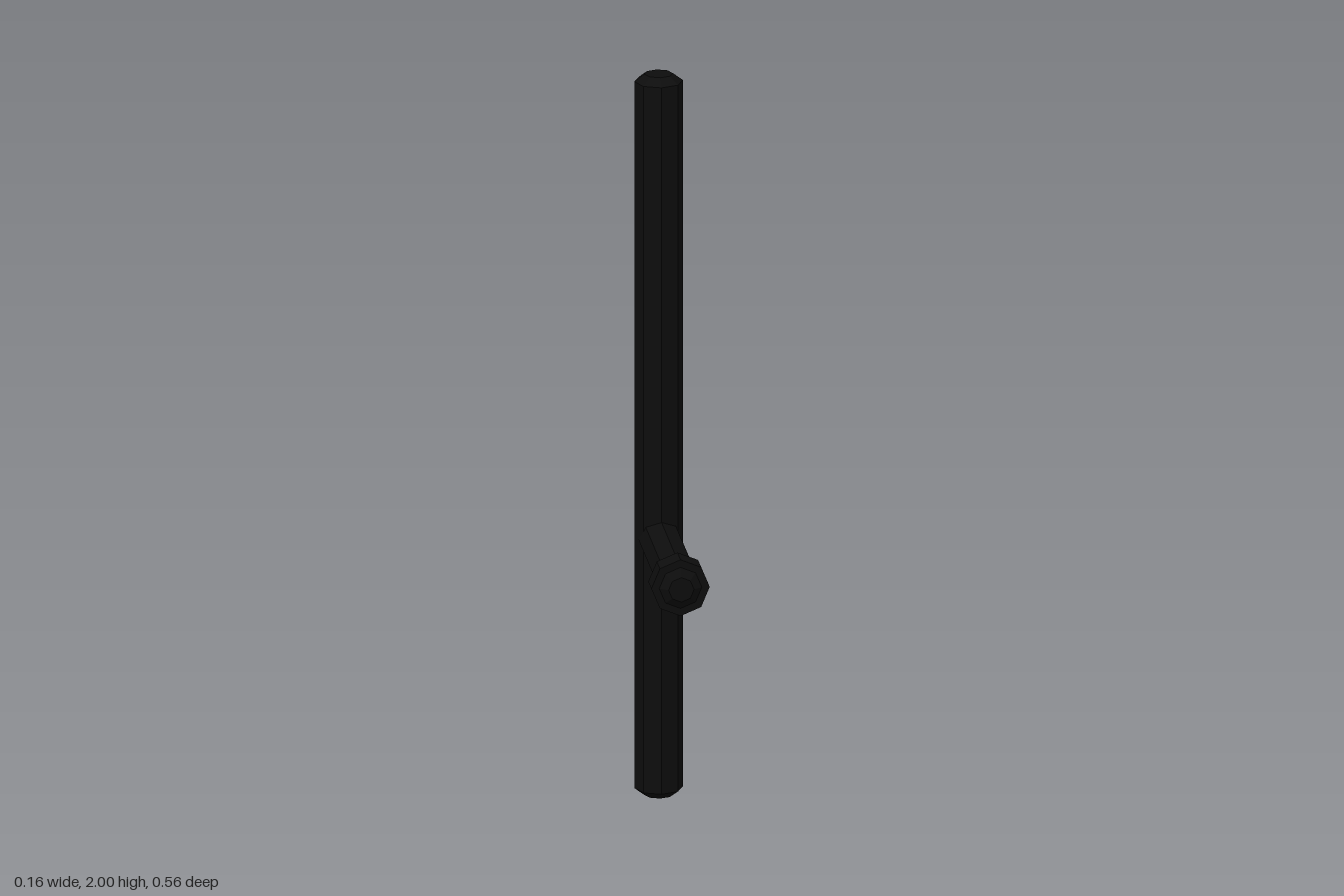
import * as THREE from 'three';

const SIDES = 8;

// Eight-sided turned part; profile is [radius, height] from bottom to top
function turned(name, profile, material) {
  const points = profile.map(([r, h]) => new THREE.Vector2(r, h));
  const mesh = new THREE.Mesh(new THREE.LatheGeometry(points, SIDES), material);
  mesh.name = name;
  return mesh;
}

export function createModel() {
  const black = new THREE.MeshStandardMaterial({ color: 0x0d0d0d, flatShading: true });
  black.name = 'black';

  const model = new THREE.Group();
  model.name = 'sideHandleBaton';

  // Long shaft with bevelled ends
  const shaft = turned('shaft', [
    [0, 0], [0.038, 0], [0.065, 0.02], [0.065, 1.98], [0.038, 2], [0, 2],
  ], black);
  shaft.position.z = -0.214;
  model.add(shaft);

  // Side handle, turned along z
  const handle = new THREE.Group();
  handle.name = 'sideHandle';
  handle.position.y = 0.717;
  handle.rotation.x = Math.PI / 2;
  handle.add(
    turned('grip', [[0, -0.2], [0.057, -0.2], [0.057, 0.2]], black),
    // Wider knob with a bevelled end cap
    turned('knob', [
      [0.05, 0.193], [0.078, 0.193], [0.078, 0.26], [0.057, 0.26], [0.034, 0.278], [0, 0.278],
    ], black),
  );
  model.add(handle);

  return model;
}
